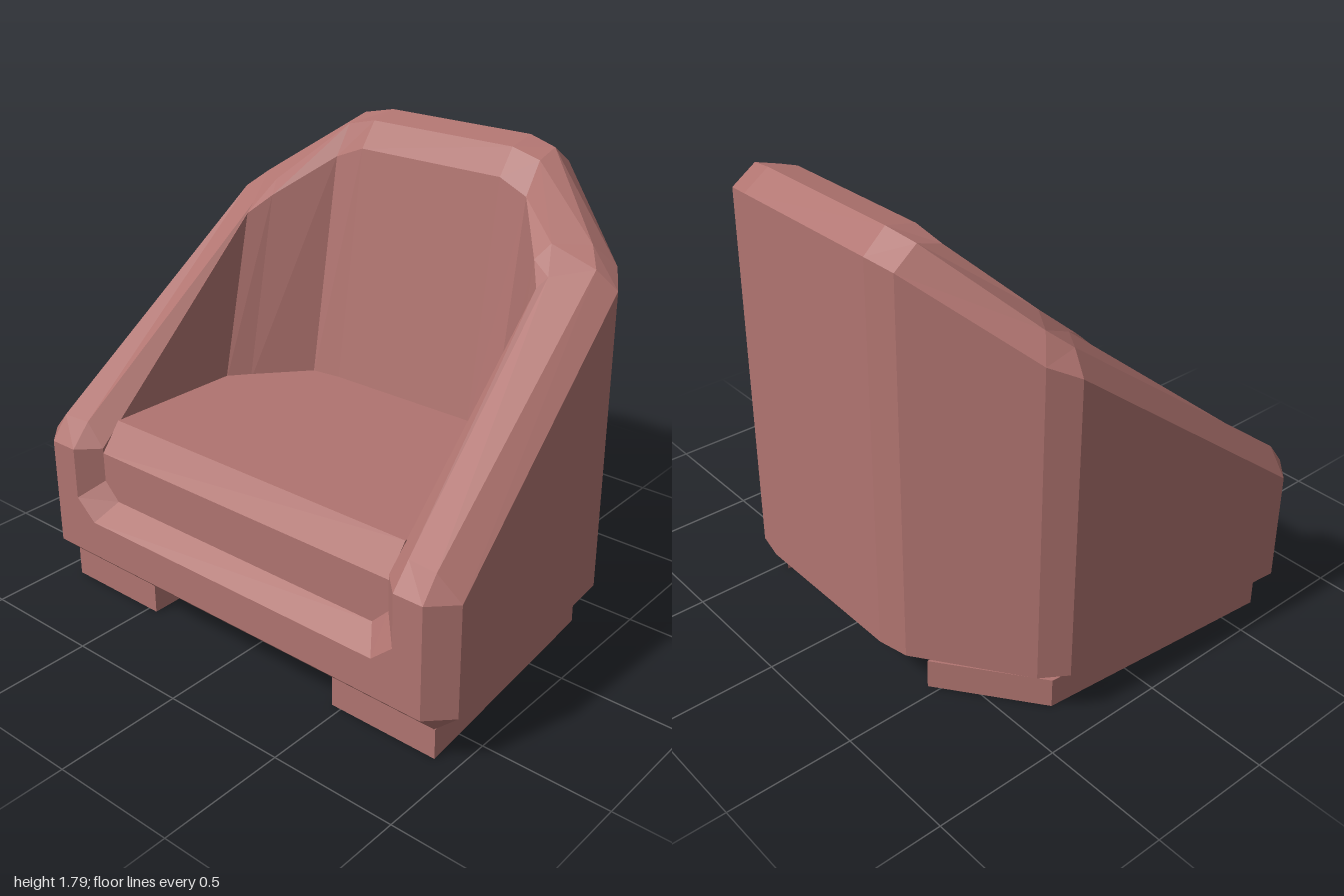
import * as THREE from 'three';

const V = (x, y, z) => [x, y, z];

// Skin between consecutive cross-sections, each a list of points
function loft(sections) {
  const pos = [];
  for (let s = 0; s < sections.length - 1; s++) {
    const a = sections[s], b = sections[s + 1];
    for (let r = 0; r < a.length - 1; r++) {
      pos.push(...a[r], ...b[r], ...b[r + 1], ...a[r], ...b[r + 1], ...a[r + 1]);
    }
  }
  const g = new THREE.BufferGeometry();
  g.setAttribute('position', new THREE.Float32BufferAttribute(pos, 3));
  g.computeVertexNormals();
  return g;
}

const shape = (pts) => new THREE.Shape(pts.map(([x, y]) => new THREE.Vector2(x, y)));
const flip = ([x, y, z]) => [-x, y, z];

export function createModel() {
  const group = new THREE.Group();
  const upholstery = new THREE.MeshStandardMaterial({ color: 0xb07470, flatShading: true, side: THREE.DoubleSide });
  upholstery.name = 'dusty rose upholstery';
  const add = (name, geometry) => {
    const mesh = new THREE.Mesh(geometry, upholstery);
    mesh.name = name;
    group.add(mesh);
    return mesh;
  };

  // Wall sections from the arm front to the middle of the back:
  // underside, outer low, outer high, rim outer, rim inner, inner high, inner low
  const half = [
    [V(.91, .12, .66), V(.91, .2, .74), V(.91, .64, .74), V(.91, .64, .74), V(.79, .64, .74), V(.79, .64, .74), V(.79, .43, .74)],
    [V(.91, .12, .66), V(1, .2, .65), V(1, .64, .65), V(.91, .73, .67), V(.79, .73, .66), V(.71, .64, .66), V(.71, .5, .66)],
    [V(.83, .12, -.31), V(.915, .2, -.34), V(.915, 1.39, -.34), V(.84, 1.46, -.31), V(.71, 1.43, -.21), V(.695, 1.4, -.16), V(.695, .7, 0)],
    [V(.78, .12, -.38), V(.85, .2, -.44), V(.85, 1.44, -.44), V(.78, 1.52, -.38), V(.66, 1.52, -.3), V(.63, 1.47, -.24), V(.63, .7, -.08)],
    [V(.44, .12, -.62), V(.46, .2, -.715), V(.46, 1.7, -.715), V(.455, 1.77, -.62), V(.455, 1.74, -.52), V(.455, 1.62, -.44), V(.455, .7, -.28)],
    [V(.33, .12, -.65), V(.34, .2, -.74), V(.34, 1.72, -.74), V(.33, 1.795, -.645), V(.33, 1.77, -.525), V(.33, 1.67, -.45), V(.33, .7, -.295)],
  ];
  const sections = [...half, ...half.map((s) => s.map(flip)).reverse()];
  add('backAndArms', loft(sections));

  // Front panel, cut out around the seat cushion
  const edge = [[.91, .2], [.91, .64], [.79, .64], [.79, .43], [.7, .35]];
  const outline = [...edge, ...edge.map(([x, y]) => [-x, y]).reverse()];
  add('frontPanel', new THREE.ShapeGeometry(shape(outline))).position.z = .74;

  // Bevels under and above the front panel
  add('frontLowerBevel', loft([
    [V(-.91, .12, .66), V(-.91, .2, .74)],
    [V(.91, .12, .66), V(.91, .2, .74)],
  ]));
  const ledge = [
    [V(-.79, .43, .74), V(-.71, .5, .66)],
    [V(-.7, .35, .74), V(-.64, .43, .66)],
  ];
  add('frontLedge', loft([...ledge, ...ledge.map((s) => s.map(flip)).reverse()]));

  // Underside, following the lowest points of the walls
  const base = sections.slice(1, -1).map((s) => [s[0][0], s[0][2]]);
  add('underside', new THREE.ShapeGeometry(shape(base)).rotateX(Math.PI / 2)).position.y = .12;

  // Seat cushion: side profile (z, y) extruded across the seat
  const profile = shape([[.66, .3], [.66, .62], [.575, .73], [-.33, .73], [-.33, .3]]);
  const cushion = new THREE.ExtrudeGeometry(profile, { depth: 1.42, bevelEnabled: false });
  add('seatCushion', cushion.rotateY(-Math.PI / 2).translate(.71, 0, 0));

  // Runner feet, angled along the outer and rear edges
  for (const side of [1, -1]) {
    const plan = shape([[.46, .66], [.915, .66], [.83, -.345], [.46, -.62]].map(([x, z]) => [x * side, z]));
    const foot = new THREE.ExtrudeGeometry(plan, { depth: .12, bevelEnabled: false });
    add(side > 0 ? 'leftFoot' : 'rightFoot', foot.rotateX(Math.PI / 2).translate(0, .12, 0));
  }
  return group;
}
